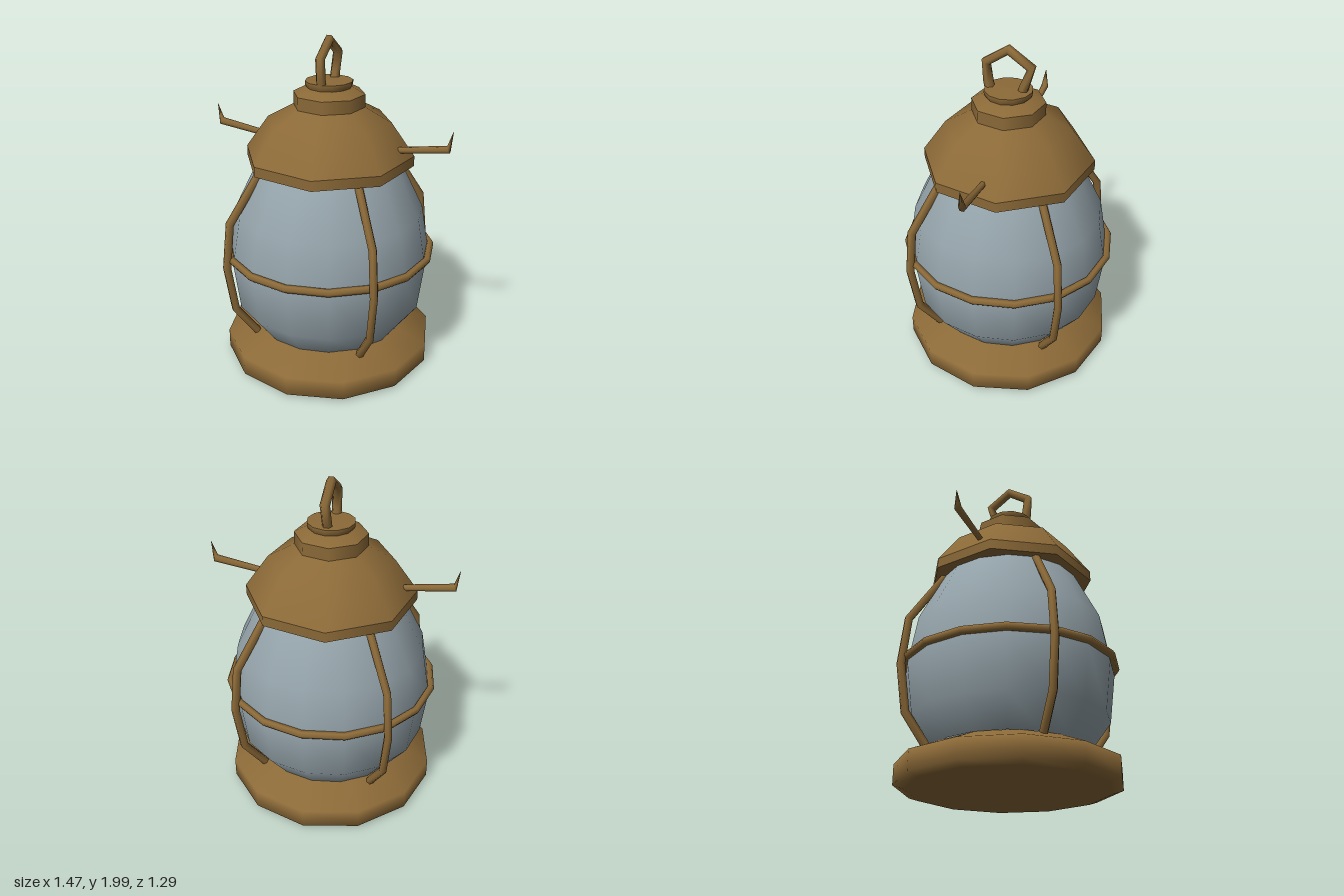
import * as THREE from 'three';

const brass = new THREE.MeshStandardMaterial({ color: 0x8c6a38, side: THREE.DoubleSide });
brass.name = 'brass';
const glass = new THREE.MeshStandardMaterial({ color: 0x95a4ab, side: THREE.DoubleSide });
glass.name = 'glass';

// Straight-sided path that a tube can follow corner by corner
class Polyline extends THREE.Curve {
  constructor(points) {
    super();
    this.points = points.map((p) => new THREE.Vector3(...p));
  }
  getPoint(t, target = new THREE.Vector3()) {
    const f = t * (this.points.length - 1);
    const i = Math.min(Math.floor(f), this.points.length - 2);
    return target.copy(this.points[i]).lerp(this.points[i + 1], f - i);
  }
  getUtoTmapping(u) { return u; }
  getPointAt(u, target) { return this.getPoint(u, target); }
}

// Bar along a path, with one radius per point
function bar(name, points, radii, sides = 6) {
  const path = new Polyline(points);
  const geo = new THREE.TubeGeometry(path, points.length - 1, 1, sides, false);
  const pos = geo.attributes.position;
  const v = new THREE.Vector3();
  for (let i = 0; i < pos.count; i++) {
    const ring = Math.floor(i / (sides + 1));
    const c = path.points[ring];
    v.fromBufferAttribute(pos, i).sub(c).multiplyScalar(radii[ring]).add(c);
    pos.setXYZ(i, v.x, v.y, v.z);
  }
  const mesh = new THREE.Mesh(geo, brass);
  mesh.name = name;
  return mesh;
}

// Turned part: each band is smooth, with a sharp edge between bands
function turned(name, bands, sides, phase, material) {
  const group = new THREE.Group();
  group.name = name;
  for (const band of bands) {
    const pts = band.map(([r, y]) => new THREE.Vector2(r, y));
    const mesh = new THREE.Mesh(new THREE.LatheGeometry(pts, sides, phase), material);
    mesh.name = name + 'Band';
    group.add(mesh);
  }
  return group;
}

export function createModel() {
  const model = new THREE.Group();
  model.name = 'lantern';

  // Base
  model.add(turned('base', [
    [[0, 0.005], [0.58, 0.005]],
    [[0.58, 0.005], [0.64, 0.025], [0.64, 0.14], [0.43, 0.228]],
    [[0.43, 0.228], [0, 0.228]],
  ], 12, 0, brass));

  // Globe
  model.add(turned('globe', [
    [[0.45, 0.22], [0.575, 0.39], [0.612, 0.68], [0.562, 0.97], [0.42, 1.26], [0.34, 1.34]],
  ], 16, 0, glass));

  // Cap, collar and finial disc
  model.add(turned('cap', [
    [[0.36, 1.26], [0.5, 1.26]],
    [[0.5, 1.26], [0.5, 1.32]],
    [[0.5, 1.32], [0.365, 1.51], [0.21, 1.595]],
    [[0.21, 1.595], [0.21, 1.67]],
    [[0.21, 1.67], [0.14, 1.705], [0.1, 1.705]],
  ], 8, 0.2, brass));
  model.add(turned('finial', [
    [[0.12, 1.69], [0.138, 1.72], [0.138, 1.742]],
    [[0.138, 1.742], [0, 1.748]],
  ], 12, 0, brass));

  // Hoop around the globe
  const hoop = new THREE.Mesh(new THREE.TorusGeometry(0.62, 0.023, 6, 16), brass);
  hoop.name = 'hoop';
  hoop.rotation.x = Math.PI / 2;
  hoop.position.y = 0.718;
  model.add(hoop);

  // Four guard bars
  const guard = [[0.48, 0.205], [0.61, 0.39], [0.65, 0.67], [0.62, 0.95], [0.41, 1.27], [0.37, 1.32]];
  for (let i = 0; i < 4; i++) {
    const post = bar('guardBar', guard.map(([r, y]) => [r, y, 0]), guard.map(() => 0.025));
    post.rotation.y = Math.PI / 4 + i * Math.PI / 2;
    model.add(post);
  }

  // Side hooks, tapering to a point
  for (const side of [1, -1]) {
    const hook = bar('sideHook',
      [[0.4, 1.375, -0.005], [0.71, 1.42, -0.005], [0.732, 1.525, -0.005]],
      [0.018, 0.023, 0.001]);
    if (side < 0) hook.rotation.y = Math.PI;
    model.add(hook);
  }

  // Carrying loop
  const loop = [[0.11, 1.73], [0.118, 1.775], [0.128, 1.885], [0, 1.97],
    [-0.13, 1.882], [-0.09, 1.765], [-0.08, 1.73]];
  model.add(bar('carryingLoop', loop.map(([z, y]) => [0, y, z]), loop.map(() => 0.029)));

  return model;
}
